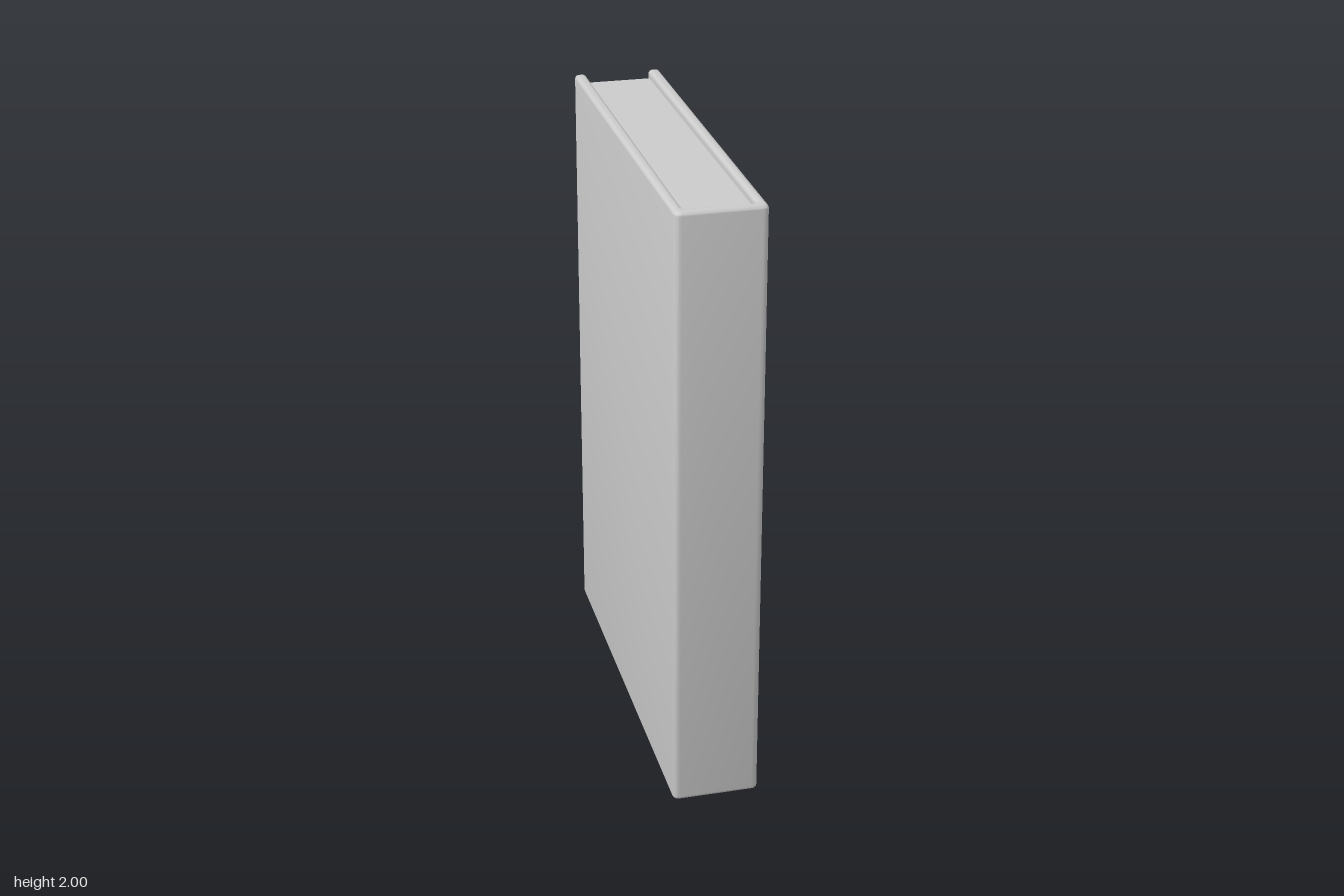
import * as THREE from 'three';
import { toCreasedNormals } from 'three/addons/utils/BufferGeometryUtils.js';

const HEIGHT = 2;
const BACK = 0.69;      // half depth of the cover
const OUT_FRONT = 0.14; // half width at the spine
const OUT_BACK = 0.146; // half width at the open edge
const INNER = 0.107;    // half width of the page block
const SPINE = 0.035;    // spine thickness
const BEVEL = 0.013;

// Closed outline with every corner rounded; corners are [x, y, radius]
function roundedOutline(corners) {
  const shape = new THREE.Shape();
  const n = corners.length;
  corners.forEach(([x, y, r], i) => {
    const p = new THREE.Vector2(x, y);
    const toward = ([a, b]) => new THREE.Vector2(a, b).sub(p).setLength(r).add(p);
    const start = toward(corners[(i + n - 1) % n]);
    const end = toward(corners[(i + 1) % n]);
    if (i === 0) shape.moveTo(start.x, start.y);
    else shape.lineTo(start.x, start.y);
    shape.quadraticCurveTo(x, y, end.x, end.y);
  });
  shape.closePath();
  return shape;
}

export function createModel() {
  const book = new THREE.Group();
  book.name = 'book';
  const material = new THREE.MeshStandardMaterial({ color: 0xcccccc });

  // Cover: a U-shaped section (spine and two boards) with softened rims
  const section = roundedOutline([
    [-OUT_FRONT, -BACK, 0.022],
    [OUT_FRONT, -BACK, 0.022],
    [OUT_BACK, BACK, 0.016],
    [INNER, BACK, 0.016],
    [INNER, -BACK + SPINE, 0.016],
    [-INNER, -BACK + SPINE, 0.016],
    [-INNER, BACK, 0.016],
    [-OUT_BACK, BACK, 0.016],
  ]);
  const coverGeometry = new THREE.ExtrudeGeometry(section, {
    depth: HEIGHT - 2 * BEVEL,
    curveSegments: 6,
    bevelEnabled: true,
    bevelThickness: BEVEL,
    bevelSize: BEVEL,
    bevelOffset: -BEVEL,
    bevelSegments: 4,
  });
  coverGeometry.translate(0, 0, BEVEL).rotateX(-Math.PI / 2);
  const cover = new THREE.Mesh(toCreasedNormals(coverGeometry, 0.6), material);
  cover.name = 'cover';
  book.add(cover);

  // Page block: set in from the top, bottom and open edge of the cover
  const inset = 0.025;
  const pageFront = BACK - SPINE + 0.002;
  const pageDepth = BACK - inset + pageFront;
  const pages = new THREE.Mesh(
    new THREE.BoxGeometry(2 * INNER + 0.004, HEIGHT - 2 * inset, pageDepth),
    material,
  );
  pages.name = 'pages';
  pages.position.set(0, HEIGHT / 2, pageFront - pageDepth / 2);
  book.add(pages);

  return book;
}
